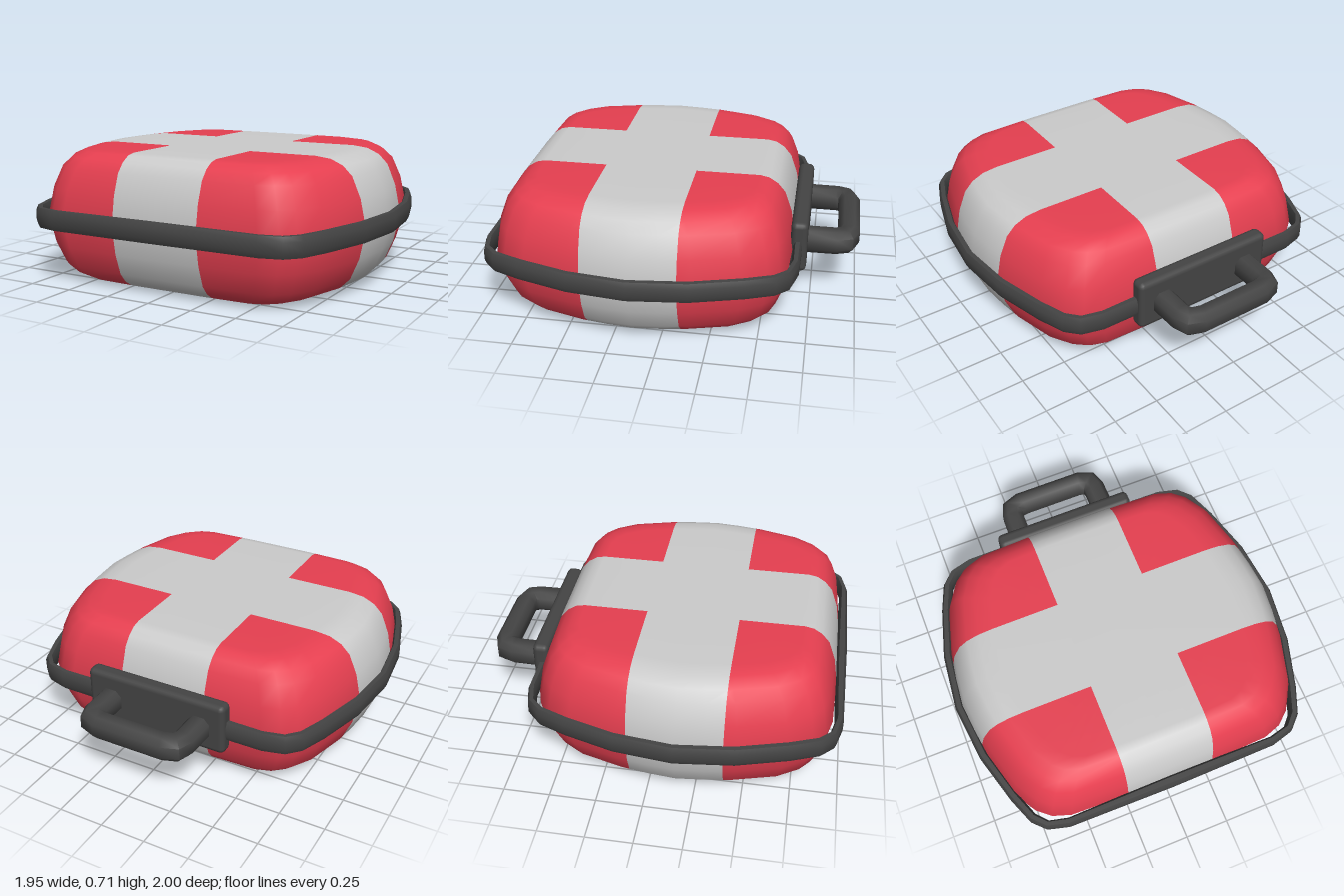
import * as THREE from 'three';
import { toCreasedNormals } from 'three/addons/utils/BufferGeometryUtils.js';
import { RoundedBoxGeometry } from 'three/addons/geometries/RoundedBoxGeometry.js';

const MID_Y = 0.355;   // height of the seam
const MID_Z = 0.15;    // centre of the shell
const CROSS = 0.25;    // half width of the cross arms

// Completes a quarter outline (from +x round to +z); each entry holds x, z pairs
function mirrorQuarter(q) {
  const flip = (pts, sx, sz) => pts.map(p => p.map((v, i) => v * (i % 2 ? sz : sx)));
  const back = [...q].reverse();
  return [...q, ...flip(back, -1, 1).slice(1), ...flip(q, -1, -1).slice(1), ...flip(back, 1, -1).slice(1, -1)];
}

// Skins closed rings of points; the row of rings may close on itself
function loft(rings, closed) {
  const n = rings[0].length, index = [];
  const rows = closed ? rings.length : rings.length - 1;
  for (let i = 0; i < rows; i++) {
    for (let j = 0; j < n; j++) {
      const k = ((i + 1) % rings.length) * n, m = (j + 1) % n;
      index.push(i * n + j, k + j, i * n + m, i * n + m, k + j, k + m);
    }
  }
  const g = new THREE.BufferGeometry();
  g.setAttribute('position', new THREE.Float32BufferAttribute(rings.flat(2), 3));
  g.setIndex(index);
  g.computeVertexNormals();
  return g;
}

// Chamfered bar swept through stations [outerX, outerZ, innerX, innerZ]
function bar(stations, height, closed) {
  const section = [[0, 0.25], [0, -0.25], [0.25, -0.5], [0.75, -0.5], [1, -0.25], [1, 0.25], [0.75, 0.5], [0.25, 0.5]];
  const rings = stations.map(([ox, oz, ix, iz]) =>
    section.map(([t, h]) => [ox + (ix - ox) * t, h * height, oz + (iz - oz) * t]));
  return toCreasedNormals(loft(rings, closed), 0.9);
}

// Cuts triangles along a plane so that colours meet on a clean line
function split(tris, axis, value) {
  const out = [];
  for (const tri of tris) {
    for (const side of [1, -1]) {
      const poly = [];
      tri.forEach((a, i) => {
        const b = tri[(i + 1) % 3];
        const da = side * (a[axis] - value), db = side * (b[axis] - value);
        if (da >= 0) poly.push(a);
        if (da * db < 0) poly.push(a.map((v, k) => v + (b[k] - v) * da / (da - db)));
      });
      for (let i = 2; i < poly.length; i++) out.push([poly[0], poly[i - 1], poly[i]]);
    }
  }
  return out;
}

function fromTriangles(tris) {
  const verts = tris.flat();
  const g = new THREE.BufferGeometry();
  g.setAttribute('position', new THREE.Float32BufferAttribute(verts.flatMap(v => v.slice(0, 3)), 3));
  g.setAttribute('normal', new THREE.Float32BufferAttribute(verts.flatMap(v => v.slice(3)), 3));
  return g;
}

export function createModel() {
  const model = new THREE.Group();
  model.name = 'case';
  const grey = new THREE.MeshStandardMaterial({ color: 0xcccccc });
  const red = new THREE.MeshStandardMaterial({ color: 0xe63f50 });
  const dark = new THREE.MeshStandardMaterial({ color: 0x444444 });
  const add = (name, geometry, material, y, z) => {
    const mesh = new THREE.Mesh(geometry, material);
    mesh.name = name;
    mesh.position.set(0, y, z);
    model.add(mesh);
  };

  // Pillow-shaped shell: one outline scaled at several heights, mirrored below the seam
  const outline = mirrorQuarter([[0.94, 0], [0.925, 0.16], [0.9, 0.32], [0.83, 0.57], [0.752, 0.695],
    [0.68, 0.755], [0.58, 0.788], [0.25, 0.8], [0, 0.8]]);
  const upper = [[0, 1, 1], [0.155, 0.965, 0.968], [0.265, 0.915, 0.92], [0.315, 0.862, 0.868],
    [0.345, 0.79, 0.81], [0.355, 0.7, 0.75], [0.355, 0.4, 0.43], [0.355, 0, 0]];
  const levels = [...upper.slice(1).reverse().map(([y, sx, sz]) => [-y, sx, sz]), ...upper];
  const shell = loft(levels.map(([y, sx, sz]) => outline.map(([x, z]) => [x * sx, y, z * sz])), false);

  // Divide the shell into the grey cross and the red corners
  const flat = shell.toNonIndexed(), pos = flat.attributes.position, nor = flat.attributes.normal;
  let tris = [];
  for (let i = 0; i < pos.count; i += 3) {
    tris.push([i, i + 1, i + 2].map(k =>
      [pos.getX(k), pos.getY(k), pos.getZ(k), nor.getX(k), nor.getY(k), nor.getZ(k)]));
  }
  for (const axis of [0, 2]) for (const v of [-CROSS, CROSS]) tris = split(tris, axis, v);
  const inCross = t => [0, 2].some(a => Math.abs(t[0][a] + t[1][a] + t[2][a]) / 3 < CROSS);
  add('shellCross', fromTriangles(tris.filter(inCross)), grey, MID_Y, MID_Z);
  add('shellCorners', fromTriangles(tris.filter(t => !inCross(t))), red, MID_Y, MID_Z);

  // Band around the seam
  const band = mirrorQuarter([[0.975, 0, 0.925, 0], [0.94, 0.315, 0.89, 0.305], [0.86, 0.59, 0.815, 0.57],
    [0.8, 0.74, 0.76, 0.715], [0.73, 0.81, 0.705, 0.775], [0.61, 0.842, 0.6, 0.8], [0, 0.85, 0, 0.79]]);
  add('seamBand', bar(band, 0.108, true), dark, MID_Y, MID_Z);

  // Handle plate and grip at the back
  add('handlePlate', new RoundedBoxGeometry(0.82, 0.29, 0.09, 2, 0.03), dark, 0.367, -0.677);
  const half = [[0.33, -0.68, 0.205, -0.68], [0.325, -0.88, 0.205, -0.86],
    [0.295, -0.965, 0.2, -0.877], [0.2, -1, 0.17, -0.882]];
  const grip = [...half.map(([ox, oz, ix, iz]) => [-ox, oz, -ix, iz]), ...[...half].reverse()];
  add('handleGrip', bar(grip, 0.132, false), dark, MID_Y, 0);

  return model;
}
